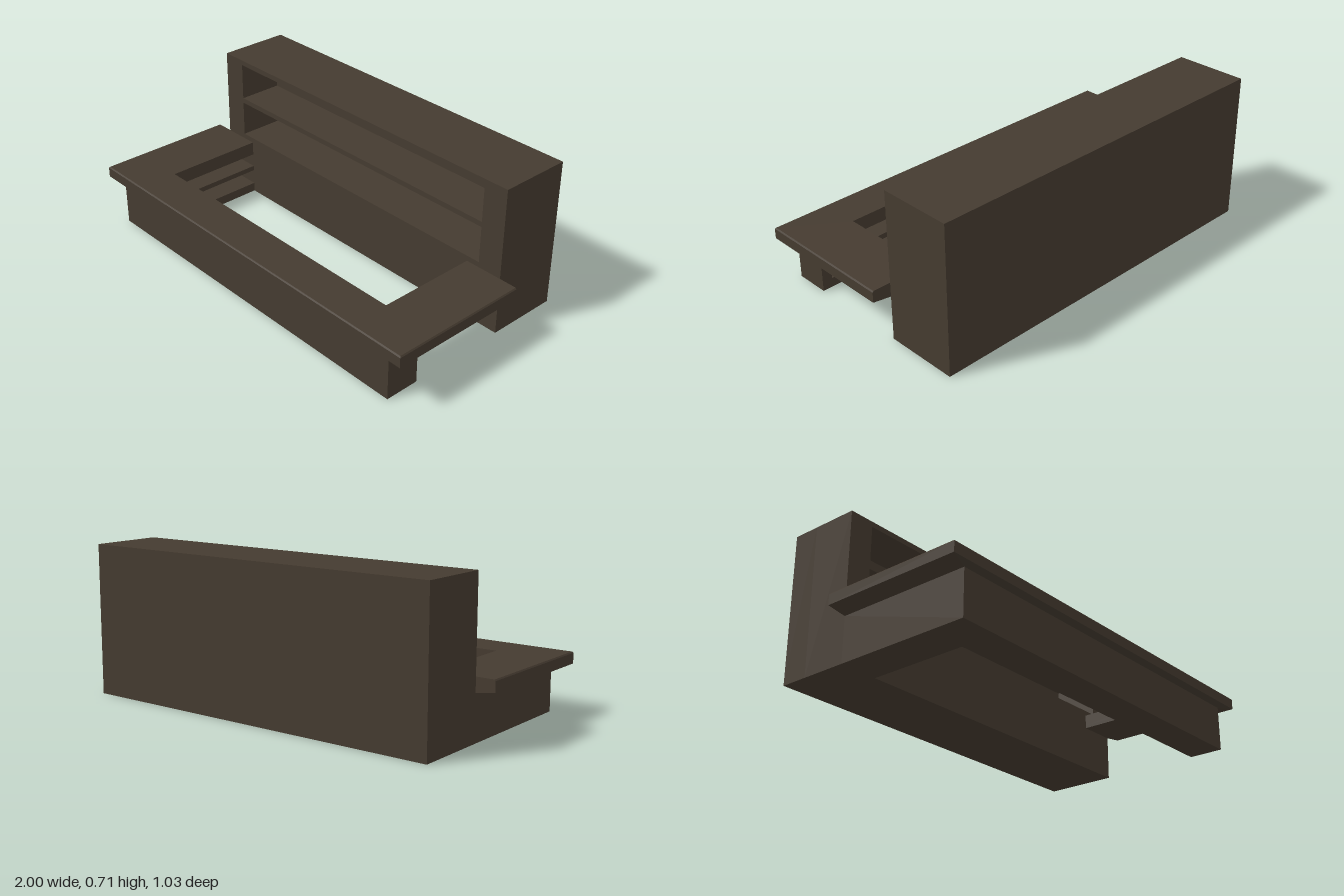
import * as THREE from 'three';

const material = new THREE.MeshStandardMaterial({ color: 0x453b30 });

function add(parent, name, geometry, x = 0, y = 0, z = 0) {
  const mesh = new THREE.Mesh(geometry, material);
  mesh.name = name;
  mesh.position.set(x, y, z);
  parent.add(mesh);
  return mesh;
}

// Slab standing on y = 0 from a floor plan of [x, z] corners
function planSlab(plan, height) {
  const shape = new THREE.Shape(plan.map(([x, z]) => new THREE.Vector2(x, -z)));
  return new THREE.ExtrudeGeometry(shape, { depth: height, bevelEnabled: false }).rotateX(-Math.PI / 2);
}

const BACK = -0.165, INNER_X = 0.725, INNER_Z = 0.32;

// U-shaped worktop lofted through rings [outer x, outer z, y]
function worktopGeometry(rings) {
  const loops = rings.map(([ox, oz, y]) => [
    [-ox, BACK], [-ox, oz], [ox, oz], [ox, BACK],
    [INNER_X, BACK], [INNER_X, INNER_Z], [-INNER_X, INNER_Z], [-INNER_X, BACK],
  ].map(([x, z]) => new THREE.Vector3(x, y, z)));
  const points = [];
  for (let r = 0; r < loops.length - 1; r++) {
    const a = loops[r], b = loops[r + 1];
    for (let i = 0; i < a.length; i++) {
      const j = (i + 1) % a.length;
      points.push(a[i], a[j], b[j], a[i], b[j], b[i]);
    }
  }
  const bottom = loops[0], top = loops[loops.length - 1];
  const faces = THREE.ShapeUtils.triangulateShape(top.map((p) => new THREE.Vector2(p.x, -p.z)), []);
  for (const [i, j, k] of faces) points.push(top[i], top[j], top[k], bottom[i], bottom[k], bottom[j]);
  const geometry = new THREE.BufferGeometry().setFromPoints(points);
  geometry.computeVertexNormals();
  return geometry;
}

export function createModel() {
  const model = new THREE.Group();
  model.name = 'barCounter';

  // Tall back cabinet with two long open shelves
  const cabinet = new THREE.Group();
  cabinet.name = 'backCabinet';
  model.add(cabinet);
  const rect = (Type, x, y0, y1) => new Type([[-x, y0], [x, y0], [x, y1], [-x, y1]].map((p) => new THREE.Vector2(...p)));
  const front = rect(THREE.Shape, 0.91, 0, 0.71);
  for (const [y0, y1] of [[0.305, 0.48], [0.505, 0.685]]) front.holes.push(rect(THREE.Path, 0.79, y0, y1));
  const depth = 0.22;
  add(cabinet, 'cabinetFront', new THREE.ExtrudeGeometry(front, { depth, bevelEnabled: false }), 0, 0, BACK - depth);
  add(cabinet, 'cabinetBack', new THREE.BoxGeometry(1.82, 0.71, 0.13), 0, 0.355, -0.45);

  // Counter base: front wall, one side wall and a short end panel, open at the left
  const counter = new THREE.Group();
  counter.name = 'counter';
  model.add(counter);
  add(counter, 'counterWalls', planSlab([
    [-0.91, BACK], [-0.91, 0.485], [0.91, 0.485], [0.91, INNER_Z],
    [0.86, INNER_Z], [0.86, 0.435], [-0.86, 0.435], [-0.86, BACK],
  ], 0.212));

  // L-shaped shelves on the inner side
  const shelfPlan = [
    [-0.86, BACK], [-0.86, 0.435], [0.86, 0.435], [0.86, INNER_Z], [-INNER_X, INNER_Z], [-INNER_X, BACK],
  ];
  add(counter, 'bottomShelf', planSlab(shelfPlan, 0.045));
  add(counter, 'middleShelf', planSlab(shelfPlan, 0.025), 0, 0.12);

  // Overhanging worktop with a sloped underside and eased top edge
  add(counter, 'worktop', worktopGeometry([
    [0.91, 0.485, 0.212], [1, 0.515, 0.226], [1, 0.515, 0.274], [0.995, 0.51, 0.28],
  ]));
  return model;
}
